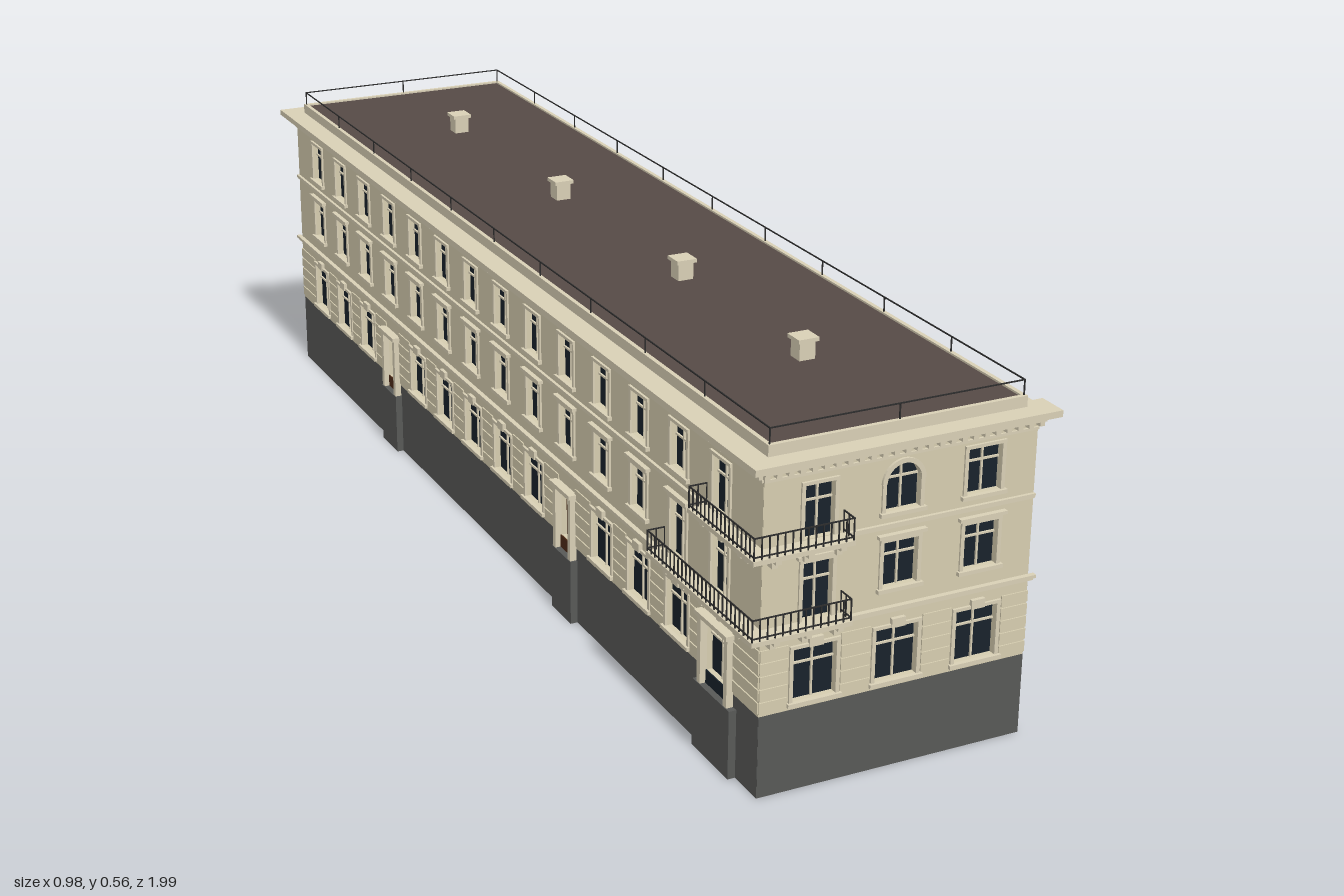
import * as THREE from 'three';
import { mergeGeometries } from 'three/addons/utils/BufferGeometryUtils.js';

const HW = 0.217, HL = 0.945, T = 0.012;          // half width, half length, wall thickness
const Y = { plinth: 0.128, belt: 0.25, eaves: 0.5 };
const paint = (color) => new THREE.MeshStandardMaterial({ color, side: THREE.DoubleSide });
const M = {
  wall: paint(0xd6cdb0), tan: paint(0xbdb28e), trim: paint(0xd9d0b6), plinth: paint(0x585957),
  glass: paint(0x18222b), roof: paint(0x564a46), door: paint(0x4f2c18), iron: paint(0x2c2c2c),
};

// box given by its extents
function ext(x0, x1, y0, y1, z0, z1) {
  return new THREE.BoxGeometry(x1 - x0, y1 - y0, z1 - z0)
    .translate((x0 + x1) / 2, (y0 + y1) / 2, (z0 + z1) / 2);
}
// box centred in x, from y0 to y1, from z0 to z1
const bar = (x, w, y0, y1, z0, z1) => ext(x - w / 2, x + w / 2, y0, y1, z0, z1);

function add(group, name, mat, geos) {
  if (!geos.length) return;
  const mesh = new THREE.Mesh(mergeGeometries(geos.map(g => (g.index ? g.toNonIndexed() : g))), mat);
  mesh.name = name;
  group.add(mesh);
}

function outline(P, { x, w, y0, y1, arch }) {
  const p = new P(), r = w / 2, top = arch ? y1 - r : y1;
  p.moveTo(x - r, y0);
  p.lineTo(x + r, y0);
  p.lineTo(x + r, top);
  if (arch) p.absarc(x, top, r, 0, Math.PI, false);
  else p.lineTo(x - r, top);
  p.lineTo(x - r, y0);
  return p;
}

// pierced wall between two heights, outer face at z = 0
function wall(half, y0, y1, openings) {
  const s = outline(THREE.Shape, { x: 0, w: half * 2, y0, y1 });
  for (const o of openings) s.holes.push(outline(THREE.Path, o));
  return new THREE.ExtrudeGeometry(s, { depth: T, bevelEnabled: false, curveSegments: 8 }).translate(0, 0, -T);
}

// wall, panes and glazing bars of one side; local x runs along it, z points out
function facade(name, half, openings, lowerMat) {
  const g = new THREE.Group();
  g.name = name;
  const low = openings.filter(o => o.y0 < Y.belt), high = openings.filter(o => o.y0 >= Y.belt);
  add(g, 'groundFloorWall', lowerMat, [wall(half - 0.0005, Y.plinth, Y.belt, low)]);
  add(g, 'upperWall', M.wall, [wall(half - 0.0005, Y.belt, Y.eaves, high)]);
  add(g, 'plinth', M.plinth, [ext(-half + 0.0005, half - 0.0005, 0, Y.plinth, -T, 0)]);
  const pane = o => new THREE.ShapeGeometry(outline(THREE.Shape, o), 8).translate(0, 0, -0.009);
  add(g, 'windowPanes', M.glass, openings.filter(o => !o.wood).map(pane));
  add(g, 'doorLeaves', M.door, openings.filter(o => o.wood).map(pane));
  add(g, 'glazingBars', M.trim, openings.filter(o => !o.wood).flatMap(o => {
    const t = o.street ? 0.003 : 0.007, h = o.y1 - o.y0;
    const bars = [bar(o.x, t, o.y0, o.y1, -0.009, -0.006)];
    if (o.street) bars.push(bar(o.x, o.w, o.y0 + h * 0.66, o.y0 + h * 0.66 + 0.003, -0.009, -0.006));
    return bars;
  }));
  return g;
}

// jambs, heads and sills of the decorated sides
function surrounds(g, openings) {
  const geos = [];
  for (const o of openings.filter(q => !q.portal)) {
    const e = o.w / 2, ground = o.y0 < Y.belt, top = o.arch ? o.y1 - e : o.y1;
    for (const s of [-1, 1]) geos.push(bar(o.x + s * (e + 0.003), 0.006, o.y0, top, 0, 0.003));
    if (!o.balcony) geos.push(bar(o.x, o.w + 0.018, o.y0 - 0.006, o.y0, 0, 0.007));
    if (o.arch) {
      const ring = new THREE.Shape();
      ring.absarc(o.x, top, e + 0.007, 0, Math.PI, false);
      ring.absarc(o.x, top, e, Math.PI, 0, true);
      geos.push(new THREE.ExtrudeGeometry(ring, { depth: 0.004, bevelEnabled: false, curveSegments: 10 }));
    } else geos.push(bar(o.x, o.w + 0.012, o.y1, o.y1 + 0.005, 0, 0.004));
    if (ground) geos.push(bar(o.x, 0.022, o.y1, o.y1 + 0.014, 0, 0.006));            // keystone
    else if (o.y0 < 0.37) geos.push(bar(o.x, o.w + 0.022, o.y1 + 0.007, o.y1 + 0.012, 0, 0.008)); // hood
  }
  add(g, 'windowSurrounds', M.trim, geos);
}

// raised stone courses between the ground floor openings
function rustication(g, half, openings) {
  const low = openings.filter(o => o.y0 < Y.belt).sort((a, b) => a.x - b.x), geos = [];
  let x = -half;
  for (const o of [...low, { x: half, w: -0.016 }]) {
    const end = o.x - o.w / 2 - 0.008;
    for (let i = 0; i < 5; i++) geos.push(ext(x, end, 0.133 + i * 0.02, 0.15 + i * 0.02, 0, 0.002));
    x = o.x + o.w / 2 + 0.008;
  }
  add(g, 'stoneCourses', M.wall, geos);
}

// belts and dentils
function mouldings(g, half) {
  const geos = [
    ext(-half - 0.005, half + 0.005, 0.247, 0.251, 0, 0.005),
    ext(-half - 0.008, half + 0.008, 0.251, 0.256, 0, 0.008),
    ext(-half, half, 0.375, 0.378, 0, 0.003),
    ext(-half, half, 0.378, 0.383, 0, 0.005),
    ext(-half, half, 0.48, 0.484, 0, 0.003),
    ext(-half - 0.005, half + 0.005, 0.495, 0.5, 0, 0.014),
  ];
  const n = Math.round(half * 2 / 0.018);
  for (let i = 0; i <= n; i++) geos.push(bar(-half + i * 2 * half / n, 0.008, 0.487, 0.495, 0, 0.01));
  add(g, 'beltsAndDentils', M.trim, geos);
}

// iron railing along a polyline of [x, z] points
function railing(pts, y0, y1, step, rails) {
  const geos = [], r = 0.0009;
  for (let k = 0; k + 1 < pts.length; k++) {
    const [ax, az] = pts[k], [bx, bz] = pts[k + 1], len = Math.hypot(bx - ax, bz - az);
    const n = Math.max(1, Math.round(len / step));
    for (let i = 0; i <= n; i++) {
      const x = ax + (bx - ax) * i / n, z = az + (bz - az) * i / n;
      geos.push(ext(x - r, x + r, y0, y1, z - r, z + r));
    }
    for (const y of rails) geos.push(ext(Math.min(ax, bx) - r, Math.max(ax, bx) + r, y - r, y + r,
      Math.min(az, bz) - r, Math.max(az, bz) + r));
  }
  return geos;
}

// balcony wrapped round the front left corner of the block, back to z = zEnd
function balcony(y, zEnd) {
  const g = new THREE.Group(), D = 0.03, xEnd = -0.09;
  g.name = 'cornerBalcony';
  const slabs = [ext(-HW - D, -HW, y, y + 0.007, zEnd, HL + D), ext(-HW, xEnd, y, y + 0.007, HL, HL + D)];
  const brackets = [];
  for (const [d, h] of [[0.025, 0.008], [0.014, 0.018]]) {
    for (const x of [-0.205, -0.155, -0.105]) brackets.push(bar(x, 0.009, y - h, y, HL, HL + d));
    for (let z = HL - 0.02; z > zEnd; z -= 0.055) brackets.push(ext(-HW - d, -HW, y - h, y, z - 0.005, z + 0.005));
  }
  add(g, 'balconySlab', M.trim, slabs);
  add(g, 'balconyBrackets', M.trim, brackets);
  const o = D - 0.002;
  add(g, 'balconyRailing', M.iron, railing([[-HW, zEnd + 0.002], [-HW - o, zEnd + 0.002], [-HW - o, HL + o],
    [xEnd - 0.002, HL + o], [xEnd - 0.002, HL]], y + 0.007, y + 0.04, 0.012, [y + 0.012, y + 0.04]));
  return g;
}

export function createModel() {
  const model = new THREE.Group(), b = new THREE.Group();
  model.name = 'cornerBuilding';
  b.name = 'block';
  b.rotation.y = 0.266;
  b.position.set(-0.002, 0, -0.008);
  model.add(b);

  const columns = Array.from({ length: 14 }, (_, i) => (i - 6.5) * 0.1273);
  const plainRows = [[0.142, 0.217], [0.286, 0.356], [0.404, 0.474]];
  const plain = xs => xs.flatMap(x => plainRows.map(([y0, y1]) => ({ x, w: 0.05, y0, y1 })));

  // plain sides
  const right = facade('rightFacade', HL, plain(columns), M.tan);
  right.rotation.y = Math.PI / 2;
  right.position.x = HW;
  const back = facade('backFacade', HW, plain([-0.12, 0, 0.12]), M.tan);
  back.rotation.y = Math.PI;
  back.position.z = -HL;

  // decorated front
  const frontOpen = [-0.131, 0, 0.131].flatMap((x, i) => [
    { x, w: 0.068, y0: 0.14, y1: 0.222 },
    i ? { x, w: 0.055, y0: 0.285, y1: 0.355 } : { x, w: 0.046, y0: 0.262, y1: 0.35, balcony: true },
    i ? { x, w: 0.055, y0: 0.4, y1: 0.47, arch: i === 1 } : { x, w: 0.046, y0: 0.384, y1: 0.465, balcony: true },
  ]).map(o => ({ ...o, street: true }));
  const front = facade('frontFacade', HW, frontOpen, M.wall);
  front.position.z = HL;

  // decorated left side with three entrances
  const doors = { 3: true, 9: true, 13: true };
  const leftOpen = columns.flatMap((x, i) => [
    doors[i] ? { x, w: i === 13 ? 0.07 : 0.046, y0: 0.1285, y1: 0.215, portal: true, wood: i !== 13 }
      : { x, w: 0.068, y0: 0.14, y1: 0.222 },
    i > 11 ? { x, w: 0.048, y0: 0.262, y1: 0.352, balcony: true } : { x, w: 0.05, y0: 0.285, y1: 0.355 },
    i > 12 ? { x, w: 0.048, y0: 0.384, y1: 0.468, balcony: true } : { x, w: 0.05, y0: 0.4, y1: 0.47 },
  ]).map(o => ({ ...o, street: true }));
  const left = facade('leftFacade', HL, leftOpen, M.wall);
  left.rotation.y = -Math.PI / 2;
  left.position.x = -HW;
  const stoops = [], portals = [], leaves = [];
  for (const o of leftOpen.filter(q => q.portal)) {
    const e = o.w / 2, d = 0.011;
    stoops.push(bar(o.x, o.w + (o.wood ? 0.026 : 0.04), 0, 0.108, 0, d + 0.001));
    for (const s of [-1, 1]) portals.push(bar(o.x + s * (e + 0.005), 0.01, 0.108, 0.215, 0, d));
    portals.push(bar(o.x, o.w + 0.028, 0.215, 0.222, 0, d + 0.004));
    leaves.push([o.wood ? M.door : M.glass, bar(o.x, o.w, 0.108, 0.129, 0, 0.002)]);
  }
  add(left, 'entranceSteps', M.plinth, stoops);
  add(left, 'entrancePortals', M.trim, portals);
  for (const [mat, geo] of leaves) add(left, 'doorFoot', mat, [geo]);
  for (const [g, half, open] of [[front, HW, frontOpen], [left, HL, leftOpen]]) {
    surrounds(g, open);
    rustication(g, half, open);
    mouldings(g, half);
  }
  b.add(front, left, right, back);
  b.add(balcony(0.255, 0.655), balcony(0.376, 0.783));

  // cornice, deeper over the decorated sides
  add(b, 'cornice', M.trim, [
    ext(-HW - 0.014, HW + 0.012, 0.499, 0.508, -HL - 0.015, HL + 0.012),
    ext(-HW - 0.024, -HW + 0.03, 0.5, 0.51, -HL - 0.026, HL + 0.02),
    ext(-HW - 0.024, HW + 0.026, 0.5, 0.51, HL - 0.03, HL + 0.02),
  ]);

  // parapet, roof and roof railing
  const px = HW - 0.012, pz = HL - 0.012, t = 0.007;
  add(b, 'parapet', M.trim, [-1, 1].flatMap(s => [
    ext(s * (px - t / 2) - t / 2, s * (px - t / 2) + t / 2, 0.507, 0.527, -pz, pz),
    ext(-px + t, px - t, 0.507, 0.527, s * (pz - t / 2) - t / 2, s * (pz - t / 2) + t / 2),
  ]));
  add(b, 'roof', M.roof, [ext(-px + t, px - t, 0.507, 0.524, -pz + t, pz - t)]);
  const rx = px - 0.004, rz = pz - 0.004;
  add(b, 'roofRailing', M.iron, railing([[-rx, -rz], [rx, -rz], [rx, rz], [-rx, rz], [-rx, -rz]],
    0.525, 0.55, 0.19, [0.55]));

  // chimneys
  for (const z of [-0.638, -0.179, 0.281, 0.664]) {
    const g = new THREE.Group();
    g.name = 'chimney';
    g.position.z = z;
    add(g, 'chimneyShaft', M.trim, [bar(0, 0.026, 0.52, 0.553, -0.013, 0.013)]);
    add(g, 'chimneyCap', M.trim, [bar(0, 0.034, 0.552, 0.558, -0.017, 0.017)]);
    b.add(g);
  }
  return model;
}
